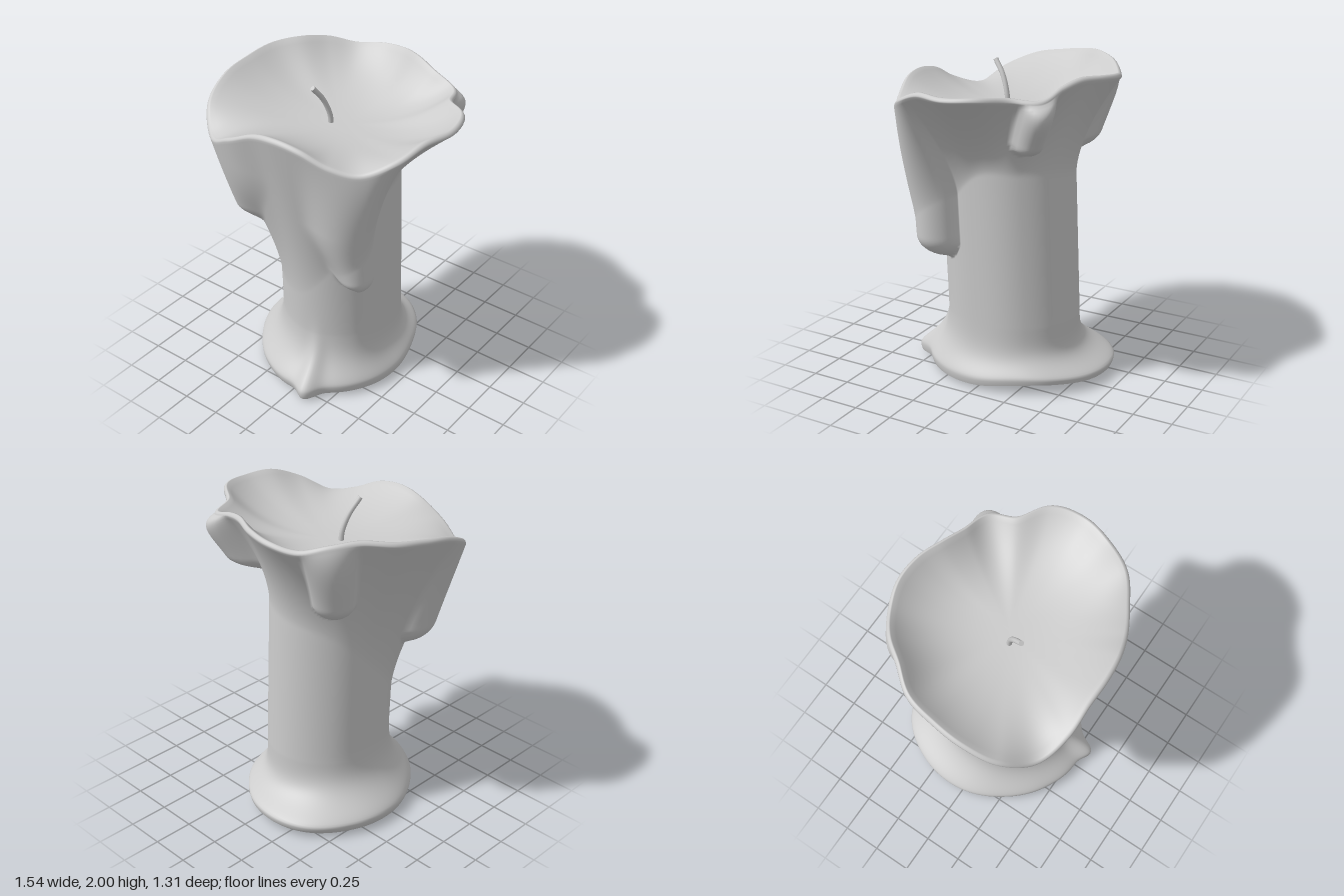
import * as THREE from 'three';

const TAU = Math.PI * 2, SEG = 200, ROWS = 130, LIP = 0.026, POOL = 1.725, MEAN_RIM = 1.89;

// Periodic smooth interpolation of values spaced evenly around the axis (0 = +x, a quarter turn = +z)
function around(values) {
  const n = values.length;
  return (angle) => {
    const u = ((angle / TAU) % 1 + 1) % 1 * n, i = Math.floor(u), t = u - i;
    const [a, b, c, d] = [-1, 0, 1, 2].map((k) => values[(i + k + n) % n]);
    return b + 0.5 * t * (c - a + t * (2 * a - 5 * b + 4 * c - d + t * (3 * (b - c) + d - a)));
  };
}

const rimRadius = around([0.77, 0.75, 0.75, 0.7, 0.67, 0.655, 0.65, 0.665, 0.73, 0.79, 0.82, 0.79,
  0.755, 0.74, 0.69, 0.69, 0.685, 0.675, 0.64, 0.6, 0.61, 0.68, 0.645, 0.745]);
const rimHeight = around([1.93, 1.93, 1.86, 1.78, 1.81, 1.88, 1.9, 1.87, 1.78, 1.7, 1.82, 1.91,
  1.95, 1.98, 2.0, 1.98, 1.94, 1.96, 1.98, 1.99, 1.96, 1.91, 1.92, 1.94]);
const stemRadius = around([0.34, 0.37, 0.39, 0.385, 0.41, 0.45, 0.455, 0.385]);
const flareStart = around([1.35, 1.05, 0.7, 0.7, 0.95, 1.25, 1.35, 1.38]);
const footRadius = around([0.44, 0.46, 0.5, 0.55, 0.54, 0.55, 0.6, 0.65, 0.69, 0.64, 0.54, 0.46]);
const footHeight = around([0.03, 0.025, 0.015, 0, 0.01, 0.03, 0.05, 0.07]);
const footSlope = around([0.1, 0.12, 0.13, 0.14, 0.14, 0.11, 0.08, 0.08]);

// Wax runs: angle, lowest point, half width, thickness, fade power towards the rim,
// and the side (+1, -1 or none) on which the run melts softly into the wall
const drips = [
  { angle: 0.72, low: 0.8, width: 0.14, thick: 0.2, fade: 2, soft: 1 },
  { angle: 2.5, low: 1.07, width: 0.14, thick: 0.16, fade: 2, soft: -1 },
  { angle: 3.93, low: 1.43, width: 0.11, thick: 0.13, fade: 5, soft: 0 },
  { angle: 5.48, low: 1.53, width: 0.08, thick: 0.18, fade: 8, soft: 0 },
];

function dripBump(angle, y, s) {
  let bump = 0;
  for (const d of drips) {
    let turn = Math.atan2(Math.sin(angle - d.angle), Math.cos(angle - d.angle));
    const soft = turn * d.soft > 0;
    if (soft) turn /= 1.2 + 1.3 * THREE.MathUtils.smoothstep(y, d.low, d.low + 0.5);
    const down = Math.max(0, d.low + d.width - y);
    const k = 1 - ((turn * 0.45) ** 2 + down ** 2) / d.width ** 2;
    if (k > 0) bump += d.thick * Math.pow(k, soft ? 0.6 + 8 * Math.abs(turn) : 0.6) * (1 - Math.pow(s, d.fade));
  }
  return bump;
}

// Outer wall: stem, spreading foot, flared top and drips
function wallPoint(angle, v) {
  const top = rimHeight(angle) - LIP, low = footHeight(angle);
  const y = low + (top - low) * Math.pow(v, 1.15);
  const start = flareStart(angle);
  const s = THREE.MathUtils.clamp((y - start) / (top - start), 0, 1);
  const flare = Math.pow(s, 1.55), stem = stemRadius(angle);
  let r = stem + (rimRadius(angle) - stem) * flare + dripBump(angle, y, s);

  const slope = footSlope(angle), rise = y - low - slope * 0.45;
  const spread = rise > 0 ? Math.exp(-Math.pow(rise / slope, 1.5)) : 1 - 30 * rise * rise;
  r += (footRadius(angle) - stem) * spread;
  // narrow ridge running down onto the foot
  r += 0.08 * Math.exp(-(((angle - 1.36) / 0.12) ** 2)) * Math.exp(-((y / 0.25) ** 2));

  const lean = 0.045 * Math.max(0, y - 0.4) * (1 - flare);
  return [r * Math.cos(angle), y, r * Math.sin(angle) + lean];
}

// Rounded lip, a from 0 (outside) to a quarter turn (top)
function lipPoint(angle, a) {
  const r = rimRadius(angle) - LIP + LIP * Math.cos(a);
  return [r * Math.cos(angle), rimHeight(angle) - LIP + LIP * Math.sin(a), r * Math.sin(angle)];
}

// Hollow bowl, s from 1 (lip) to 0 (middle); the rim's waves die out quickly inwards
function bowlPoint(angle, s) {
  const r = (rimRadius(angle) - LIP) * s;
  const y = POOL + (MEAN_RIM - POOL) * Math.pow(s, 2.6) + (rimHeight(angle) - MEAN_RIM) * Math.pow(s, 4.5);
  return [r * Math.cos(angle), y, r * Math.sin(angle)];
}

// Joins closed rings, each a function of angle, into one smooth skin
function loft(rings) {
  const positions = [], index = [];
  rings.forEach((ring, i) => {
    for (let j = 0; j < SEG; j++) {
      positions.push(...ring((j / SEG) * TAU));
      if (i === rings.length - 1) continue;
      const a = i * SEG + j, b = i * SEG + ((j + 1) % SEG);
      index.push(a, a + SEG, b, b, a + SEG, b + SEG);
    }
  });
  const g = new THREE.BufferGeometry();
  g.setAttribute('position', new THREE.Float32BufferAttribute(positions, 3));
  g.setIndex(index);
  g.computeVertexNormals();
  return g;
}

export function createModel() {
  const group = new THREE.Group();
  group.name = 'meltedCandle';
  const material = new THREE.MeshStandardMaterial({ color: 0xcccccc });
  const add = (name, geometry) => {
    const mesh = new THREE.Mesh(geometry, material);
    mesh.name = name;
    group.add(mesh);
  };

  // Wax body: wall, lip and bowl
  const rings = [];
  for (let i = 0; i <= ROWS; i++) rings.push((t) => wallPoint(t, i / ROWS));
  for (let i = 1; i <= 5; i++) rings.push((t) => lipPoint(t, (i / 5) * Math.PI / 2));
  for (let i = 23; i >= 0; i--) rings.push((t) => bowlPoint(t, Math.max(i / 24, 0.002)));
  add('waxBody', loft(rings));

  // Flat underside
  add('underside', loft([
    (t) => [0.001 * Math.cos(t), 0.03, 0.001 * Math.sin(t)],
    (t) => wallPoint(t, 0),
  ]));

  // Bent wick with closed tip
  const path = new THREE.CatmullRomCurve3([
    new THREE.Vector3(-0.065, 1.68, 0.035),
    new THREE.Vector3(-0.065, 1.78, 0.045),
    new THREE.Vector3(-0.085, 1.89, 0.085),
    new THREE.Vector3(-0.11, 1.98, 0.15),
  ]);
  add('wick', new THREE.TubeGeometry(path, 20, 0.016, 10));
  const tip = new THREE.CircleGeometry(0.016, 10);
  tip.lookAt(path.getTangent(1));
  tip.translate(...path.getPoint(1).toArray());
  add('wickTip', tip);

  return group;
}
